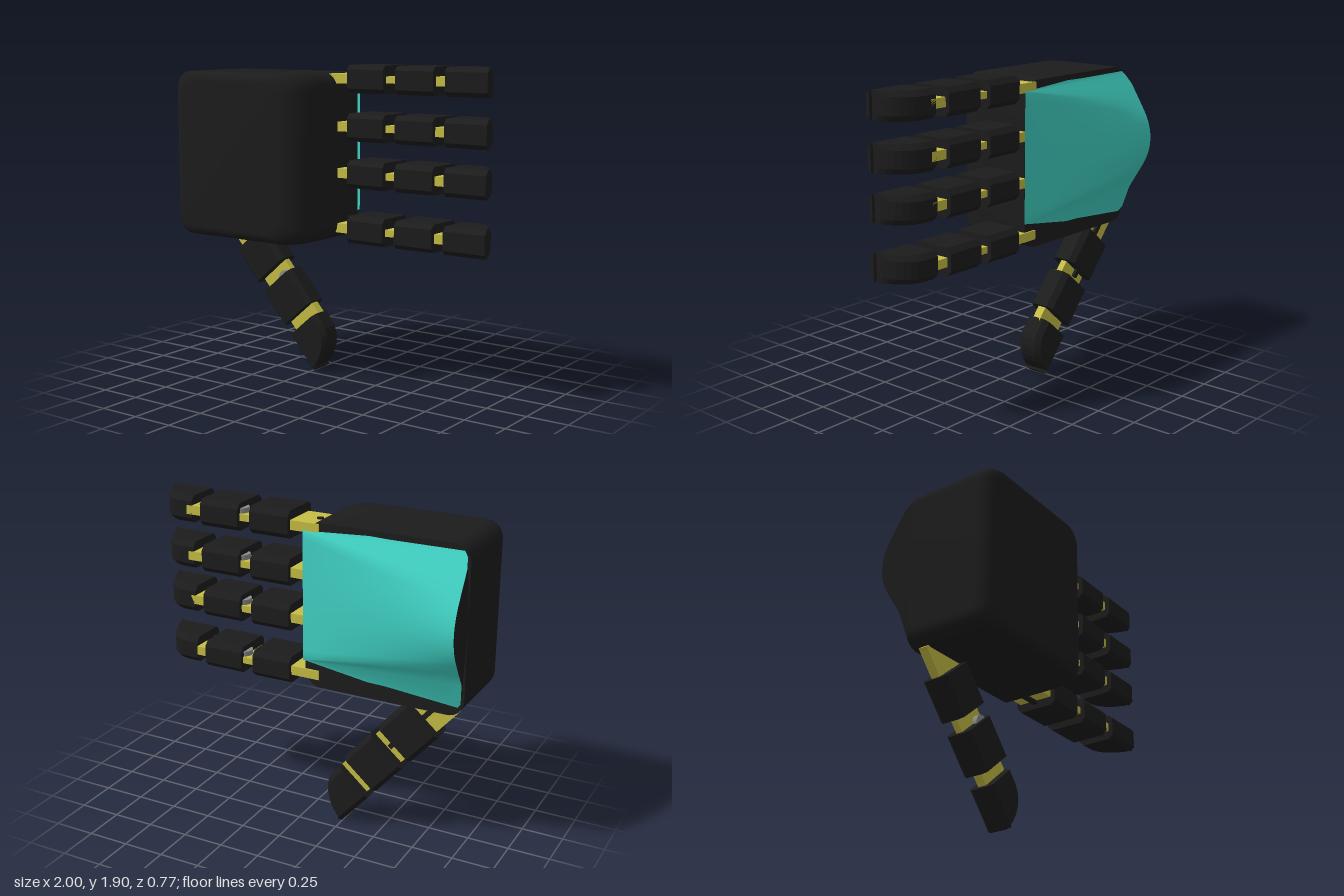
import * as THREE from 'three';
import { toCreasedNormals } from 'three/addons/utils/BufferGeometryUtils.js';

const black = new THREE.MeshStandardMaterial({ color: 0x1c1c1c });
const blackFlat = new THREE.MeshStandardMaterial({ color: 0x1c1c1c, flatShading: true });
const blackThin = new THREE.MeshStandardMaterial({ color: 0x1c1c1c, side: THREE.DoubleSide });
const yellow = new THREE.MeshStandardMaterial({ color: 0xc6bd44 });
const teal = new THREE.MeshStandardMaterial({ color: 0x40d0c2, side: THREE.DoubleSide });
const grey = new THREE.MeshStandardMaterial({ color: 0x8c8c8c });

function add(parent, name, geometry, material, x = 0, y = 0, z = 0) {
  const mesh = new THREE.Mesh(geometry, material);
  mesh.name = name;
  mesh.position.set(x, y, z);
  parent.add(mesh);
  return mesh;
}

function toGeometry(tris, crease) {
  const g = new THREE.BufferGeometry();
  g.setAttribute('position', new THREE.Float32BufferAttribute(tris.flat(), 3));
  return toCreasedNormals(g, crease);
}

// Closed solid through rings of points, counterclockwise seen from the far end
function loft(rings, crease = 0.5) {
  const t = [];
  const n = rings[0].length;
  const mid = (r) => [0, 1, 2].map((k) => r.reduce((s, p) => s + p[k], 0) / n);
  const first = rings[0];
  const last = rings[rings.length - 1];
  const m0 = mid(first);
  const m1 = mid(last);
  for (let j = 0; j < n; j++) {
    const k = (j + 1) % n;
    for (let i = 0; i + 1 < rings.length; i++) {
      const [a, b, c, d] = [rings[i][j], rings[i][k], rings[i + 1][j], rings[i + 1][k]];
      t.push(a, b, d, a, d, c);
    }
    t.push(m0, first[k], first[j], m1, last[j], last[k]);
  }
  return toGeometry(t, crease);
}

// Palm: rounded outline, with a different rounding on each front edge
function palmGeometry() {
  const front = 0.385;
  const inset = (z, r) => (z > front - r ? r - Math.sqrt(Math.max(0, r * r - (z - front + r) ** 2)) : 0);
  const levels = [-0.18];
  for (let i = 0; i <= 14; i++) levels.push(front - 0.2 + 0.2 * Math.sin((i / 14) * Math.PI / 2));
  return loft(levels.map((z) => {
    const x0 = -1 + inset(z, 0.1);
    const x1 = -0.01 - inset(z, 0.2);
    const y0 = 0.86 + inset(z, 0.06);
    const y1 = 1.855 - inset(z, 0.06);
    const r = 0.1;
    const ring = [];
    [[x1 - r, y1 - r], [x0 + r, y1 - r], [x0 + r, y0 + r], [x1 - r, y0 + r]].forEach(([cx, cy], q) => {
      for (let i = 0; i <= 8; i++) {
        const a = (q + i / 8) * Math.PI / 2;
        ring.push([cx + r * Math.cos(a), cy + r * Math.sin(a), z]);
      }
    });
    return ring;
  }), 0.6);
}

// Back cover: ruled surface from a straight knuckle line to a domed wrist rim
function addCover(parent) {
  const cy = 1.41;
  const side = [ // x, distance from the middle, z
    [-0.9, 0.44, -0.168], [-0.95, 0.425, -0.172], [-0.985, 0.385, -0.195],
    [-1, 0.33, -0.235], [-1, 0.25, -0.285], [-1, 0.18, -0.328],
  ];
  const rim = side.map(([x, d, z]) => [x, cy + d, z]);
  for (let i = 1; i < 16; i++) {
    const d = 0.18 * (1 - i / 8);
    rim.push([-1, cy + d, -0.385 + 0.057 * (d / 0.18) ** 2]);
  }
  side.slice().reverse().forEach(([x, d, z]) => rim.push([x, cy - d * (d > 0.35 ? 1.2 : 1), z]));
  const line = rim.map((p) => [0, cy + 0.39 * THREE.MathUtils.clamp((p[1] - cy) / 0.18, -1, 1), -0.19]);
  const steps = 12;
  const at = (j, s) => rim[j].map((v, k) => v + (line[j][k] - v) * s / steps);
  const shell = [];
  const cap = [];
  for (let j = 0; j + 1 < rim.length; j++) {
    for (let s = 0; s < steps; s++) {
      const [a, b, c, d] = [at(j, s), at(j + 1, s), at(j, s + 1), at(j + 1, s + 1)];
      shell.push(a, d, b, a, c, d);
    }
    cap.push([-0.999, cy, -0.17], rim[j], rim[j + 1]);
  }
  add(parent, 'backCover', toGeometry(shell, 0.6), teal);
  add(parent, 'wristEnd', toGeometry(cap, 0.3), blackThin);
}

// Chamfered finger cross-section at x, reaching back to z = zb
function section(x, zb) {
  const c = Math.min(0.03, (0.05 - zb) * 0.3);
  const f = Math.min(0.035, 0.06 - c * 0.8);
  return [[0.081, zb + c], [0.081, f], [0.055, 0.06], [-0.055, 0.06],
    [-0.081, f], [-0.081, zb + c], [-0.05, zb], [0.05, zb]].map(([y, z]) => [x, y, z]);
}

// One finger along +x, its inner side facing +z
function makeFinger(name) {
  const g = new THREE.Group();
  g.name = name;
  for (const x of [0.08, 0.41]) {
    add(g, 'fingerSegment', loft([section(x, -0.215), section(x + 0.25, -0.215)]), blackFlat);
  }
  const tip = [section(0.735, -0.19)];
  for (let i = 0; i <= 8; i++) {
    const a = (i / 8) * Math.PI / 2;
    tip.push(section(0.81 + 0.175 * Math.sin(a), 0.03 - 0.22 * Math.cos(a)));
  }
  tip.push(section(1, 0.035));
  add(g, 'fingerTip', loft(tip), blackFlat);

  // Yellow hinge links between the segments
  for (const [x0, x1, h] of [[-0.1, 0.12, 0.056], [0.3, 0.45, 0.04], [0.63, 0.77, 0.054]]) {
    add(g, 'hingeLink', new THREE.BoxGeometry(x1 - x0, h, 0.22), yellow, (x0 + x1) / 2, 0, -0.08);
  }
  add(g, 'hingePin', new THREE.CylinderGeometry(0.05, 0.05, 0.03, 24), grey, 0.43, 0.035, -0.135);
  add(g, 'tendon', new THREE.BoxGeometry(0.43, 0.02, 0.03), black, 0.165, -0.042, -0.08);
  add(g, 'knucklePin', new THREE.CylinderGeometry(0.02, 0.02, 0.09, 16), black, -0.055, -0.01, -0.08);
  return g;
}

export function createModel() {
  const model = new THREE.Group();
  model.name = 'mechanicalHand';
  add(model, 'palm', palmGeometry(), black);
  addCover(model);

  [1.82, 1.54, 1.265, 0.937].forEach((y, i) => {
    const finger = makeFinger('finger' + (i + 1));
    finger.position.y = y;
    model.add(finger);
  });

  // Thumb: the same finger, turned down and onto its side
  const thumb = makeFinger('thumb');
  const a = THREE.MathUtils.degToRad(49);
  const c = Math.cos(a);
  const s = Math.sin(a);
  thumb.quaternion.setFromRotationMatrix(new THREE.Matrix4().makeBasis(
    new THREE.Vector3(c, -s, 0), new THREE.Vector3(0, 0, 1), new THREE.Vector3(-s, -c, 0)));
  thumb.position.set(-0.856, 0.796, -0.103);
  model.add(thumb);
  return model;
}
